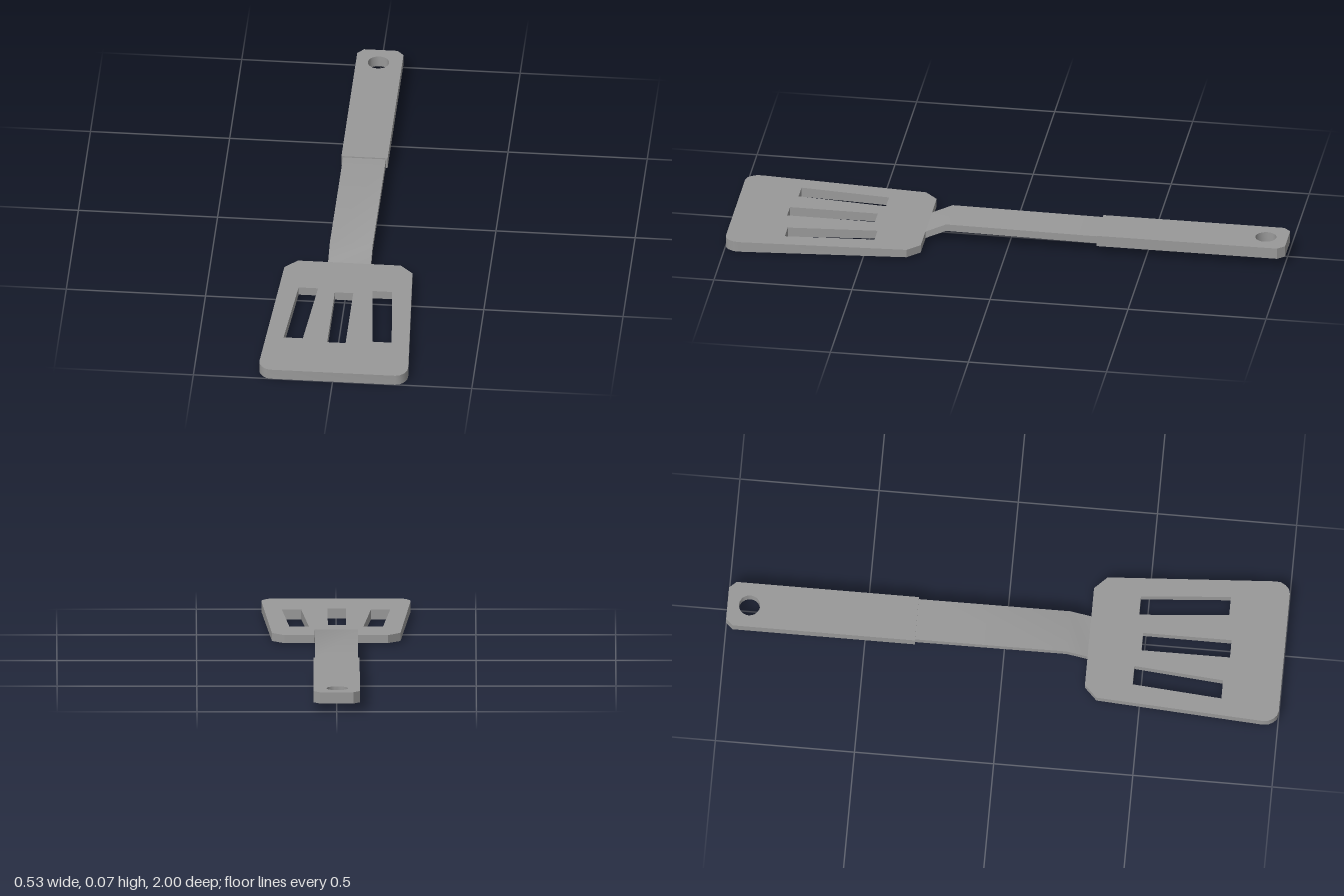
import * as THREE from 'three';
import { toCreasedNormals } from 'three/addons/utils/BufferGeometryUtils.js';

const material = new THREE.MeshStandardMaterial({ color: 0x999999 });
const points = (list) => list.map(([x, y]) => new THREE.Vector2(x, y));
const lerp = THREE.MathUtils.lerp;

// Smooth the gentle bends and keep sharp edges
function part(name, geometry) {
  const mesh = new THREE.Mesh(toCreasedNormals(geometry, 0.6), material);
  mesh.name = name;
  return mesh;
}

// Flat plate drawn in x/z; bottom(z) and top(z) give its heights
function plate(name, shape, bottom, top) {
  const geometry = new THREE.ExtrudeGeometry(shape, { depth: 1, bevelEnabled: false, curveSegments: 12 });
  geometry.rotateX(Math.PI / 2);
  const p = geometry.attributes.position;
  for (let i = 0; i < p.count; i++) {
    const z = p.getZ(i);
    p.setY(i, p.getY(i) < -0.5 ? bottom(z) : top(z));
  }
  return part(name, geometry);
}

// Mirror a half outline to make a closed symmetric shape
function symmetric(half) {
  const other = half.map(([x, z]) => [-x, z]).reverse();
  return new THREE.Shape(points([...half, ...other]));
}

export function createModel() {
  const group = new THREE.Group();
  group.name = 'spatula';

  // Slotted blade, slightly thicker towards the front edge
  const blade = symmetric([
    [0.185, 0.3], [0.23, 0.345], [0.267, 0.945], [0.265, 0.965],
    [0.255, 0.983], [0.242, 0.995], [0.225, 1],
  ]);
  const slots = [[[-0.036, 0.49], [0.03, 0.49], [0.03, 0.808], [-0.036, 0.808]]];
  for (const s of [-1, 1]) {
    slots.push([[s * 0.098, 0.47], [s * 0.168, 0.47], [s * 0.194, 0.791], [s * 0.125, 0.791]]);
  }
  slots.forEach((slot) => blade.holes.push(new THREE.Path(points(slot))));
  const along = (z) => (z - 0.3) / 0.7;
  group.add(plate('blade', blade,
    (z) => lerp(0.007, 0, along(z)), (z) => lerp(0.036, 0.039, along(z))));

  // Cranked neck, a side profile (z, y) extruded across the width
  const profile = new THREE.Shape(points([
    [0.33, 0.008], [0.305, 0.008], [0.225, 0.045], [-0.33, 0.038],
    [-0.33, 0.066], [0.225, 0.071], [0.3, 0.036], [0.33, 0.035],
  ]));
  const neck = new THREE.ExtrudeGeometry(profile, { depth: 0.154, bevelEnabled: false });
  neck.translate(0, 0, -0.077).rotateY(-Math.PI / 2);
  group.add(part('neck', neck));

  // Grip with clipped corners and a hanging hole
  const grip = symmetric([[0.06, -1], [0.083, -0.975], [0.083, -0.32]]);
  grip.holes.push(new THREE.Path().absarc(-0.002, -0.921, 0.038, 0, Math.PI * 2, true));
  group.add(plate('grip', grip, () => 0.03, () => 0.071));

  return group;
}
